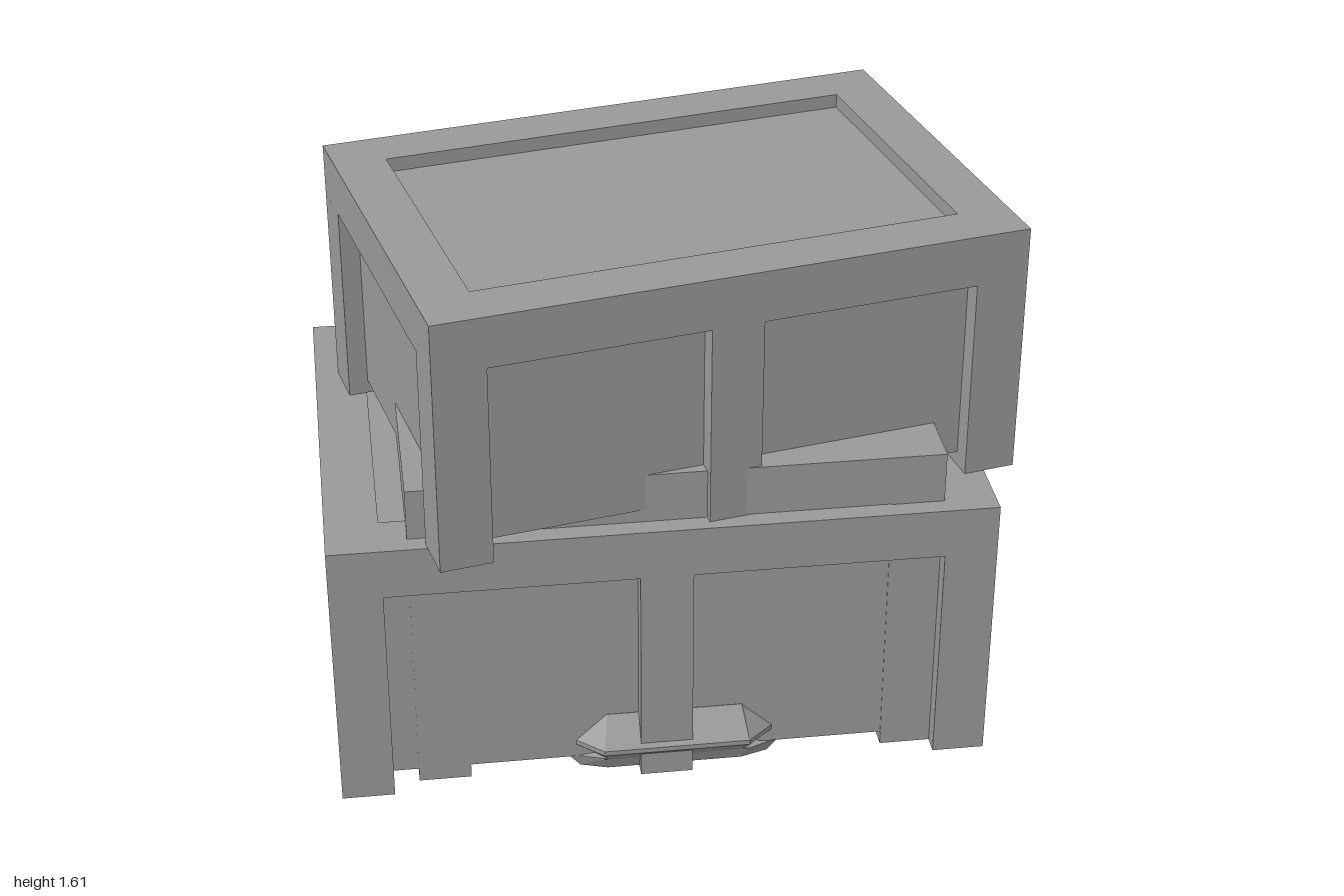
import * as THREE from 'three';

const grey = new THREE.MeshStandardMaterial({ color: 0x999999 });
grey.name = 'grey';
grey.flatShading = true;

const POST = 0.153;   // width of posts and rails
const INSET = 0.058;  // depth of the side panels
const GAP = 0.042;    // panels stop short of the top and bottom

function box(parent, name, w, h, d, x, y, z) {
  const m = new THREE.Mesh(new THREE.BoxGeometry(w, h, d), grey);
  m.name = name;
  m.position.set(x, y, z);
  parent.add(m);
}

// A framed crate standing on y = 0: sunken core, corner posts, top rails
function crate(name, w, h, d, { midPosts = true, floor = GAP } = {}) {
  const g = new THREE.Group();
  g.name = name;
  const top = h - GAP;
  box(g, 'panels', w - 2 * INSET, top - floor, d - 2 * INSET, 0, (top + floor) / 2, 0);
  const px = (w - POST) / 2, pz = (d - POST) / 2;
  const postH = h - POST;
  for (const s of [-1, 1]) {
    for (const t of [-1, 1]) box(g, 'cornerPost', POST, postH, POST, s * px, postH / 2, t * pz);
    if (midPosts) box(g, 'middlePost', POST, postH, POST, 0, postH / 2, s * pz);
    box(g, 'longRail', w, POST, POST, 0, h - POST / 2, s * pz);
    box(g, 'shortRail', POST, POST, d - 2 * POST, s * px, h - POST / 2, 0);
  }
  return g;
}

// Faceted latch: sections of [y, half width at back, half width at front, front z]
function latch() {
  const rows = [
    [0, 0.28, 0.2, 0.585], [0.04, 0.315, 0.22, 0.6], [0.05, 0.25, 0.2, 0.61],
    [0.085, 0.305, 0.215, 0.64], [0.1, 0.305, 0.215, 0.64], [0.185, 0.21, 0.2, 0.573],
  ];
  const pos = [], idx = [], zBack = 0.56;
  for (const [y, b, f, z] of rows) pos.push(-b, y, zBack, -f, y, z, f, y, z, b, y, zBack);
  for (let r = 0; r < rows.length - 1; r++) {
    for (let i = 0; i < 4; i++) {
      const j = (i + 1) % 4, a = r * 4;
      idx.push(a + i, a + j, a + 4 + j, a + i, a + 4 + j, a + 4 + i);
    }
  }
  const e = (rows.length - 1) * 4;
  idx.push(0, 2, 1, 0, 3, 2, e, e + 1, e + 2, e, e + 2, e + 3);
  const geo = new THREE.BufferGeometry();
  geo.setAttribute('position', new THREE.Float32BufferAttribute(pos, 3));
  geo.setIndex(idx);
  const flat = geo.toNonIndexed();
  flat.computeVertexNormals();
  const m = new THREE.Mesh(flat, grey);
  m.name = 'latch';
  m.position.x = -0.015;
  return m;
}

export function createModel() {
  const model = new THREE.Group();
  model.name = 'stackedCrates';

  const lower = crate('lowerCrate', 1.91, 0.845, 1.34);
  lower.position.set(-0.045, 0, -0.04);

  // Inner crate pokes out between the two larger ones
  const inner = crate('innerCrate', 1.532, 1.0, 1.155, { midPosts: false, floor: 0 });
  inner.position.set(-0.006, 0, -0.003);

  const upper = crate('upperCrate', 1.726, 0.765, 1.187);
  upper.position.set(0.035, 0.845, 0);
  upper.rotation.y = 0.204;

  model.add(lower, inner, upper, latch());
  return model;
}
